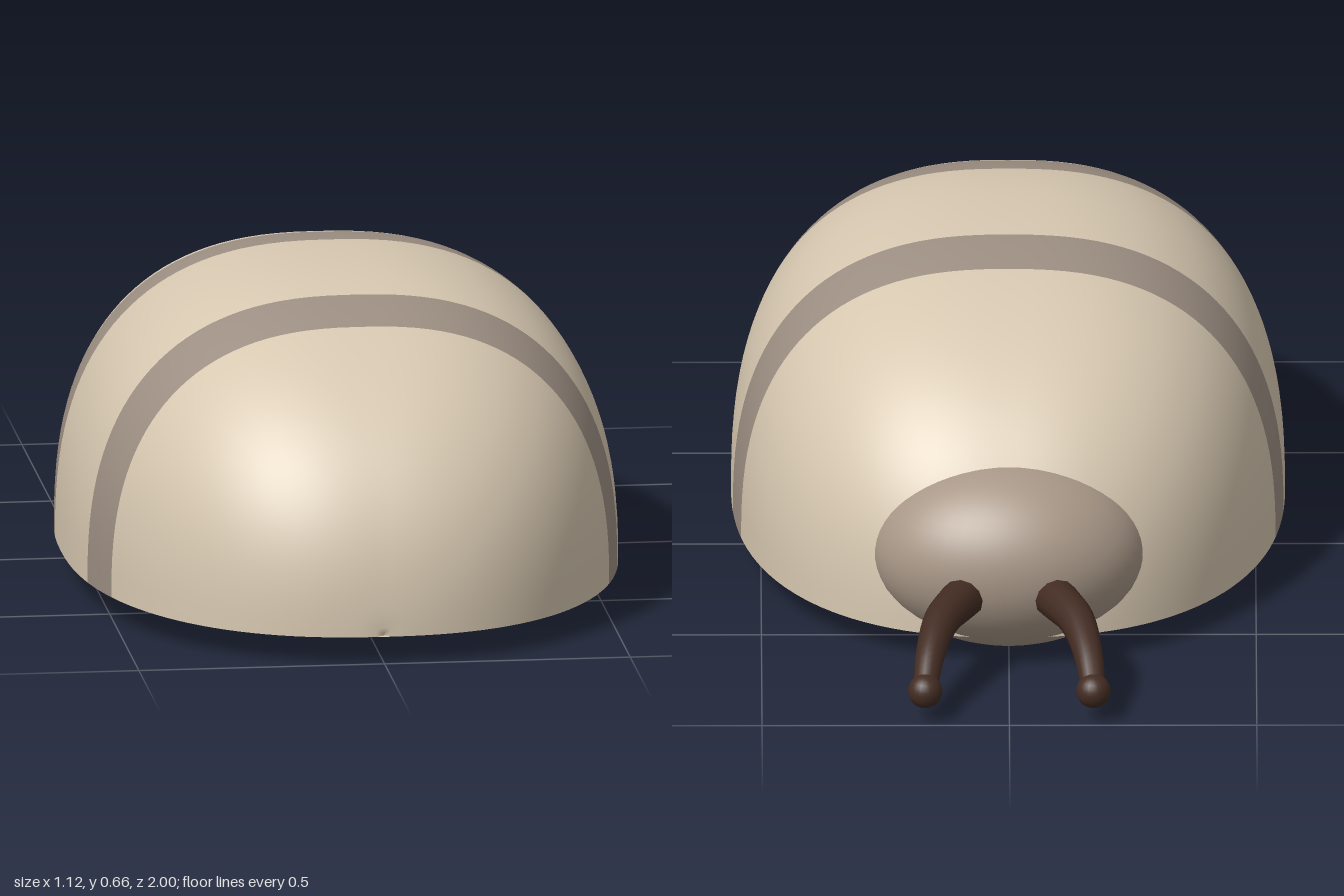
import * as THREE from 'three';

const paint = (name, color) => Object.assign(new THREE.MeshStandardMaterial({ color }), { name });

export function createModel() {
  const cream = paint('cream', 0xd6c7b0);
  const taupe = paint('taupe stripe', 0x9c8e82);
  const headTone = paint('head beige', 0xa89787);
  const brown = paint('dark brown', 0x432c22);

  const model = new THREE.Group();
  model.name = 'striped bug';

  const add = (name, geometry, material, parent = model) => {
    const mesh = new THREE.Mesh(geometry, material);
    mesh.name = name;
    parent.add(mesh);
    return mesh;
  };

  // Body stations along z, with the stripe edges inserted exactly
  const MID = 0.17, HALF = 0.826, BASE = 0.06, SIDES = 64;
  const stripes = [[-0.105, 0.04], [0.45, 0.585]];
  const stations = [...stripes.flat()];
  for (let i = 0; i <= 60; i++) {
    const a = -1.553 + (3.106 * i) / 60;
    stations.push(MID + HALF * Math.sign(a) * Math.pow(Math.abs(Math.sin(a)), 2 / 2.3));
  }
  stations.sort((a, b) => a - b);
  const swell = (z) => Math.pow(Math.max(0, 1 - Math.pow(Math.abs(z - MID) / HALF, 2.3)), 1 / 2.3);
  const isStriped = (z) => stripes.some(([a, b]) => z > a && z < b);

  // Each ring is a half superellipse; the end points are slightly sunken
  const rings = stations.map((z) => [z, swell(z)]);
  rings.unshift([MID - HALF + 0.012, 0]);
  rings.push([MID + HALF - 0.012, 0]);

  const loft = (columns, point) => {
    const pos = [], index = [];
    const geometry = new THREE.BufferGeometry();
    rings.forEach(([z, s], i) => {
      for (let j = 0; j <= columns; j++) {
        const [x, y] = point(j / columns, s);
        pos.push(x, y, z);
      }
      if (i === 0) return;
      const start = index.length;
      for (let j = 0; j < columns; j++) {
        const a = (i - 1) * (columns + 1) + j, b = a + columns + 1;
        index.push(a, a + 1, b, a + 1, b + 1, b);
      }
      const middle = (z + rings[i - 1][0]) / 2;
      geometry.addGroup(start, index.length - start, isStriped(middle) ? 1 : 0);
    });
    geometry.setAttribute('position', new THREE.Float32BufferAttribute(pos, 3));
    geometry.setIndex(index);
    geometry.computeVertexNormals();
    return geometry;
  };

  // Domed shell and flat underside
  add('bodyShell', loft(SIDES, (t, s) => {
    const c = Math.cos(Math.PI * t), n = Math.max(0, Math.sin(Math.PI * t));
    return [
      0.56 * s * Math.sign(c) * Math.pow(Math.abs(c), 0.8),
      BASE + 0.605 * s * (t === 1 ? 0 : Math.pow(n, 0.8)),
    ];
  }), [cream, taupe]);
  add('bodyUnderside', loft(2, (t, s) => [0.56 * s * (2 * t - 1), BASE]), [cream, taupe]);

  // Head tucked into the rear end
  const head = add('head', new THREE.SphereGeometry(1, 48, 32), headTone);
  head.scale.set(0.28, 0.195, 0.208);
  head.position.set(0, 0.2, -0.52);

  // Tapered feelers with round tips
  for (const side of [1, -1]) {
    const feeler = new THREE.Group();
    feeler.name = side > 0 ? 'leftFeeler' : 'rightFeeler';
    model.add(feeler);

    const path = new THREE.CatmullRomCurve3([
      [0.07, 0.165, -0.64], [0.1, 0.165, -0.72], [0.138, 0.155, -0.81],
      [0.16, 0.118, -0.9], [0.17, 0.067, -0.965],
    ].map(([x, y, z]) => new THREE.Vector3(side * x, y, z)));
    const SEG = 24, RAD = 12;
    const stalk = new THREE.TubeGeometry(path, SEG, 0.048, RAD);
    const p = stalk.attributes.position, v = new THREE.Vector3();
    for (let i = 0; i < p.count; i++) {
      const t = Math.floor(i / (RAD + 1)) / SEG;
      const centre = path.getPointAt(t);
      v.fromBufferAttribute(p, i).sub(centre).multiplyScalar(1 - 0.48 * t).add(centre);
      p.setXYZ(i, v.x, v.y, v.z);
    }
    add('feelerStalk', stalk, brown, feeler);
    add('feelerTip', new THREE.SphereGeometry(0.035, 20, 14), brown, feeler)
      .position.set(side * 0.17, 0.067, -0.967);
  }
  return model;
}
